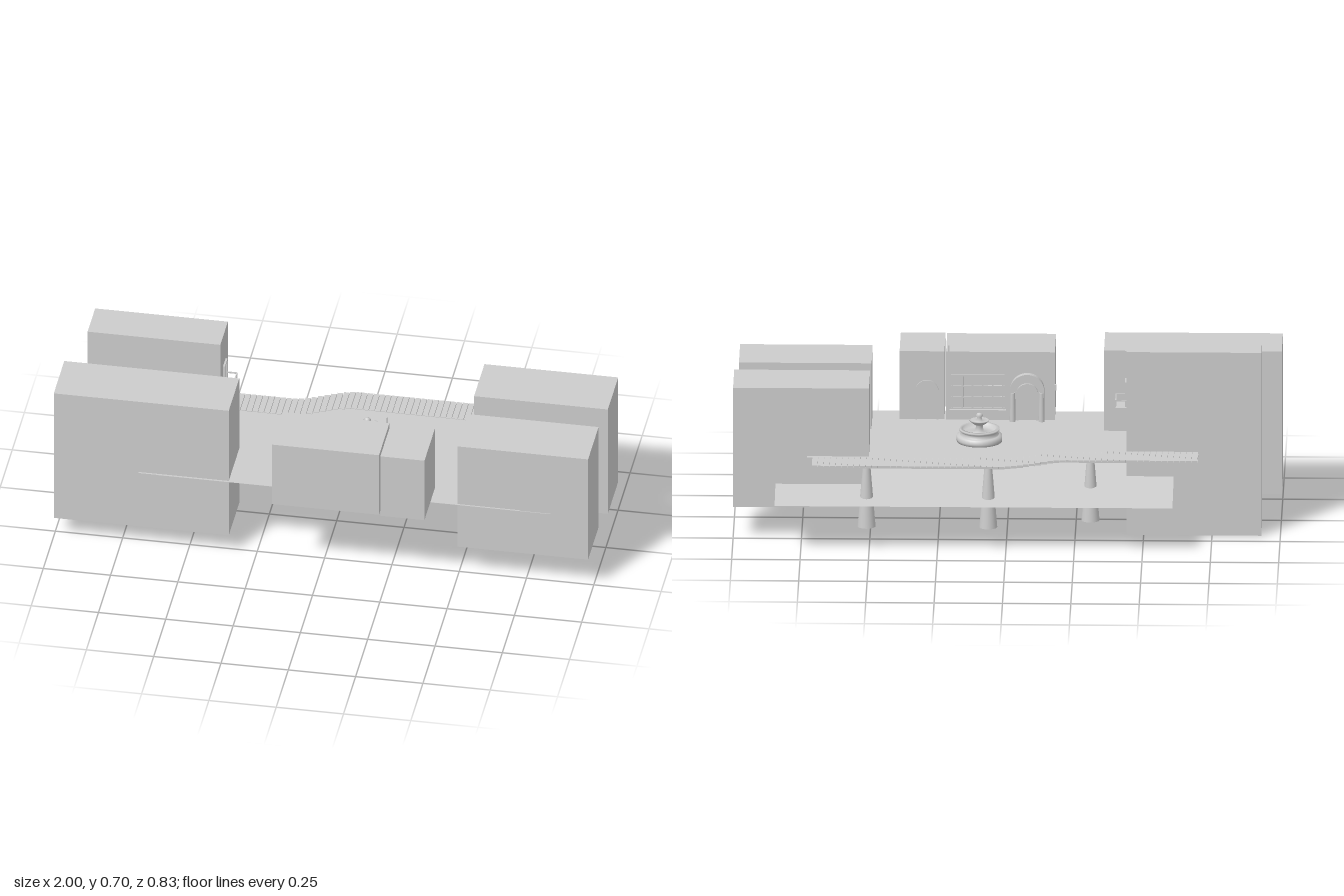
import * as THREE from 'three';

const grey = new THREE.MeshStandardMaterial({ color: 0xcccccc, side: THREE.DoubleSide });

export function createModel() {
  const root = new THREE.Group();

  const add = (name, geometry, x = 0, y = 0, z = 0, parent = root) => {
    const mesh = new THREE.Mesh(geometry, grey);
    mesh.name = name;
    mesh.position.set(x, y, z);
    parent.add(mesh);
    return mesh;
  };
  // Box given by its limits on each axis
  const box = (name, [x0, x1], [y0, y1], [z0, z1], parent = root) =>
    add(name, new THREE.BoxGeometry(x1 - x0, y1 - y0, z1 - z0),
      (x0 + x1) / 2, (y0 + y1) / 2, (z0 + z1) / 2, parent);
  const group = (name) => {
    const g = new THREE.Group();
    g.name = name;
    root.add(g);
    return g;
  };
  // Arched frame standing on y = 0, extruded towards +z
  const archFrame = (w, h, t, depth) => {
    const outline = (target, half, top) => {
      target.moveTo(-half, 0);
      target.lineTo(half, 0);
      target.lineTo(half, top - half);
      target.absarc(0, top - half, half, 0, Math.PI, false);
      target.lineTo(-half, 0);
      return target;
    };
    const shape = new THREE.Shape();
    const r = w / 2, ri = r - t, c = h - r;
    shape.moveTo(r, 0);
    shape.lineTo(r, c);
    shape.absarc(0, c, r, 0, Math.PI, false);
    shape.lineTo(-r, 0);
    shape.lineTo(-ri, 0);
    shape.lineTo(-ri, c);
    shape.absarc(0, c, ri, Math.PI, 0, true);
    shape.lineTo(ri, 0);
    return t > 0
      ? new THREE.ExtrudeGeometry(shape, { depth, bevelEnabled: false, curveSegments: 12 })
      : new THREE.ExtrudeGeometry(outline(new THREE.Shape(), r, h), { depth, bevelEnabled: false });
  };

  // Surrounding buildings
  box('rightFrontBuilding', [-1, -0.35], [0.08, 0.627], [0.066, 0.283]);
  box('rightBackBuilding', [-0.93, -0.437], [0, 0.703], [-0.183, -0.027]);
  box('leftFrontBuilding', [0.5, 0.985], [0.132, 0.572], [0.068, 0.285]);
  box('leftBackBuilding', [0.503, 1], [0.122, 0.58], [-0.255, -0.04]);

  // Centre line of the winding walkway
  const walkZ = (x) => -0.236 - 0.083 * THREE.MathUtils.smoothstep(x, -0.22, 0.02);

  // Courtyard, its back edge following the walkway
  const yard = new THREE.Shape();
  yard.moveTo(-0.685, 0.29);
  yard.lineTo(0.73, 0.29);
  for (let i = 0; i <= 30; i++) {
    const x = 0.73 - (1.415 * i) / 30;
    yard.lineTo(x, walkZ(x) + 0.05);
  }
  add('courtyard', new THREE.ShapeGeometry(yard).rotateX(Math.PI / 2), 0, 0.319, 0);

  // Sloping bank under the courtyard
  const bank = add('bank', new THREE.PlaneGeometry(1.455, Math.hypot(0.71, 0.138)), 0.1175, 0.249, -0.065);
  bank.rotation.x = -Math.PI / 2 + Math.atan2(0.138, 0.71);
  bank.rotation.x = -Math.PI / 2 - Math.atan2(0.138, 0.71);

  // Planked walkway
  const walkway = group('walkway');
  const planks = 64, step = 1.41 / planks;
  for (let i = 0; i < planks; i++) {
    const x = -0.7 + (i + 0.5) * step;
    box('plank', [x - step * 0.46, x + step * 0.46], [0.313, 0.321],
      [walkZ(x) - 0.055, walkZ(x) + 0.055], walkway);
    box('bearer', [x - step / 2, x + step / 2], [0.31, 0.314],
      [walkZ(x) - 0.05, walkZ(x) + 0.05], walkway);
  }

  // Tapered pillars
  for (const [x, z] of [[-0.307, -0.253], [0.065, -0.342], [0.51, -0.342]])
    add('pillar', new THREE.CylinderGeometry(0.014, 0.033, 0.232, 24), x, 0.196, z);

  // House in two parts
  box('houseMain', [-0.168, 0.23], [0.319, 0.58], [0.187, 0.405]);
  box('houseWing', [0.236, 0.4], [0.319, 0.58], [0.19, 0.411]);
  box('roofPost', [0.217, 0.222], [0.56, 0.603], [0.186, 0.191]);

  // Porch arch, window and door on the courtyard side of the house
  const front = group('houseFront');
  add('porchArch', archFrame(0.125, 0.18, 0.016, 0.025), -0.067, 0.32, 0.163, front);
  add('innerArch', archFrame(0.08, 0.14, 0.008, 0.01), -0.067, 0.32, 0.178, front);
  for (const x of [-0.12, -0.014])
    add('porchColumn', new THREE.CylinderGeometry(0.009, 0.011, 0.11, 12), x, 0.375, 0.168, front);
  add('doorFrame', archFrame(0.085, 0.15, 0.007, 0.008), 0.3, 0.32, 0.184, front);
  for (let i = 0; i < 6; i++) {
    const x = 0.022 + i * 0.037;
    box('windowBar', [x - 0.003, x + 0.003], [0.365, 0.49], [0.18, 0.189], front);
  }
  for (const y of [0.365, 0.407, 0.449, 0.49])
    box('windowRail', [0.016, 0.212], [y - 0.003, y + 0.003], [0.18, 0.189], front);
  box('windowSill', [0.01, 0.218], [0.35, 0.36], [0.174, 0.189], front);
  box('wallLamp', [-0.174, -0.166], [0.437, 0.458], [0.176, 0.188], front);

  // Tiered fountain
  const profile = [
    [0, 0.319], [0.083, 0.319], [0.083, 0.328], [0.083, 0.342], [0.071, 0.342], [0.071, 0.347],
    [0.066, 0.353], [0.071, 0.36], [0.074, 0.362], [0.074, 0.368], [0.062, 0.368], [0.06, 0.352],
    [0.016, 0.352], [0.012, 0.378], [0.024, 0.386], [0.036, 0.397], [0.034, 0.399], [0.012, 0.394],
    [0.008, 0.41], [0.014, 0.416], [0.008, 0.424], [0, 0.426],
  ].map(([r, y]) => new THREE.Vector2(r, y));
  add('fountain', new THREE.LatheGeometry(profile, 32), 0.103, 0, -0.06);

  // Small balcony on the side of the tall building
  const balcony = group('balcony');
  box('balconyFloor', [-0.437, -0.395], [0.47, 0.478], [-0.15, -0.072], balcony);
  box('balconyRail', [-0.399, -0.395], [0.502, 0.507], [-0.15, -0.072], balcony);
  for (let i = 0; i < 5; i++) {
    const z = -0.148 + i * 0.0185;
    box('baluster', [-0.399, -0.395], [0.478, 0.502], [z - 0.0015, z + 0.0015], balcony);
  }
  for (const z of [-0.15, -0.076])
    box('sideRail', [-0.437, -0.395], [0.502, 0.507], [z, z + 0.004], balcony);
  for (const z of [-0.138, -0.09])
    box('doorJamb', [-0.437, -0.43], [0.478, 0.57], [z, z + 0.006], balcony);
  box('doorLintel', [-0.437, -0.43], [0.565, 0.572], [-0.138, -0.084], balcony);

  return root;
}
